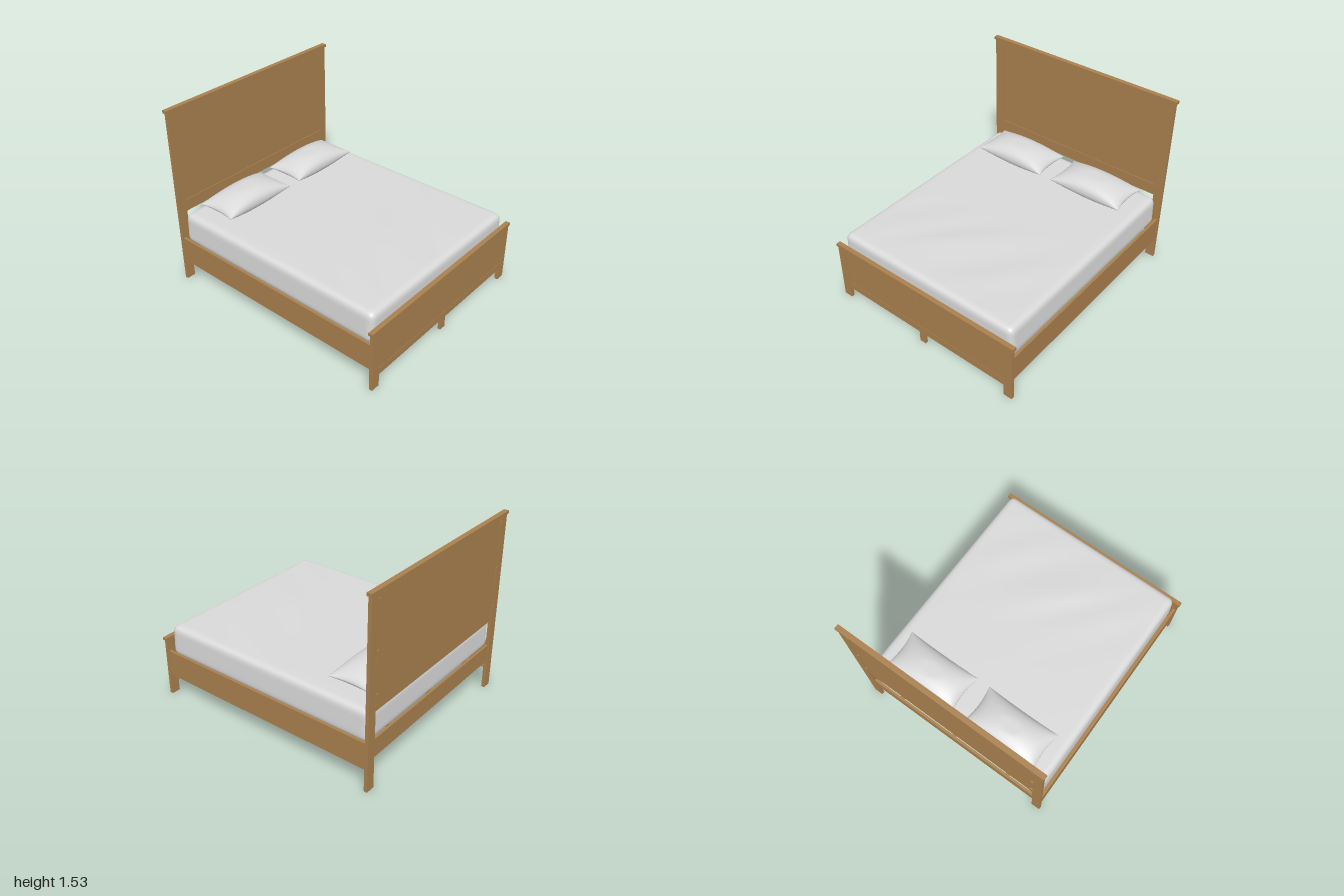
import * as THREE from 'three';
import { mergeVertices } from 'three/addons/utils/BufferGeometryUtils.js';

const wood = new THREE.MeshStandardMaterial({ color: 0xa9804e });
wood.name = 'oak wood';
const linen = new THREE.MeshStandardMaterial({ color: 0xd9d9d9 });
linen.name = 'white linen';

// Wooden board given by its minimum and maximum corners
function board(parent, name, x0, x1, y0, y1, z0, z1) {
  const m = new THREE.Mesh(new THREE.BoxGeometry(x1 - x0, y1 - y0, z1 - z0), wood);
  m.name = name;
  m.position.set((x0 + x1) / 2, (y0 + y1) / 2, (z0 + z1) / 2);
  parent.add(m);
}

// Weld the faces of a subdivided box and move its vertices by a rule
function shapeBox(nx, ny, nz, rule) {
  let g = new THREE.BoxGeometry(2, 2, 2, nx, ny, nz);
  g.deleteAttribute('normal');
  g.deleteAttribute('uv');
  g = mergeVertices(g);
  const p = g.attributes.position, v = new THREE.Vector3();
  for (let i = 0; i < p.count; i++) {
    rule(v.fromBufferAttribute(p, i));
    p.setXYZ(i, v.x, v.y, v.z);
  }
  g.computeVertexNormals();
  return g;
}

function makeHeadboard() {
  const g = new THREE.Group();
  g.name = 'headboard';
  for (const s of [-1, 1]) {
    const [a, b] = s < 0 ? [-0.865, -0.79] : [0.79, 0.865];
    board(g, 'headPost', a, b, 0, 1.51, -0.993, -0.965);
    // small fixing blocks down the back of each post
    for (const y of [0.72, 1.05, 1.42]) {
      const x = s * 0.785;
      board(g, 'fixingBlock', x - 0.012, x + 0.012, y - 0.05, y + 0.05, -0.997, -0.985);
    }
  }
  for (const x of [-0.5, 0, 0.5]) board(g, 'fixingBlock', x - 0.06, x + 0.06, 1.485, 1.51, -0.997, -0.985);
  board(g, 'headCap', -0.877, 0.877, 1.51, 1.535, -1, -0.96);
  board(g, 'headBackPanel', -0.79, 0.79, 0.63, 1.51, -0.988, -0.974);
  board(g, 'headPanelLeft', -0.022, 0.787, 0.733, 1.505, -0.975, -0.969);
  board(g, 'headPanelRight', -0.787, -0.026, 0.733, 1.505, -0.975, -0.969);
  board(g, 'headLowerBand', -0.79, 0.79, 0.63, 0.73, -0.975, -0.967);
  board(g, 'headCrossRail', -0.79, 0.79, 0.25, 0.4, -0.985, -0.965);
  return g;
}

function makeFootboard() {
  const g = new THREE.Group();
  g.name = 'footboard';
  for (const s of [-1, 1]) {
    const [a, b] = s < 0 ? [-0.865, -0.79] : [0.79, 0.865];
    board(g, 'footPost', a, b, 0, 0.5, 0.968, 0.996);
  }
  board(g, 'footCentreLeg', -0.03, 0.025, 0, 0.11, 0.968, 0.992);
  board(g, 'footBackPanel', -0.79, 0.79, 0.1, 0.5, 0.972, 0.988);
  board(g, 'footPanelLeft', 0.002, 0.787, 0.162, 0.497, 0.986, 0.992);
  board(g, 'footPanelRight', -0.787, -0.002, 0.162, 0.497, 0.986, 0.992);
  board(g, 'footLowerBand', -0.79, 0.79, 0.1, 0.16, 0.986, 0.993);
  board(g, 'footCap', -0.877, 0.877, 0.5, 0.523, 0.962, 1);
  return g;
}

function makeFrame() {
  const g = new THREE.Group();
  g.name = 'bedFrame';
  for (const s of [-1, 1]) {
    const r = [0.835 * s, 0.858 * s].sort((a, b) => a - b);
    const c = [0.8 * s, 0.836 * s].sort((a, b) => a - b);
    board(g, 'sideRail', r[0], r[1], 0.18, 0.4, -0.966, 0.97);
    board(g, 'railLedge', c[0], c[1], 0.18, 0.195, -0.966, 0.97);
  }
  // long bearers under the mattress
  for (const x of [-0.53, 0, 0.53]) board(g, 'bearer', x - 0.015, x + 0.015, 0.33, 0.372, -0.966, 0.973);
  return g;
}

function makeMattress() {
  const half = new THREE.Vector3(0.832, 0.127, 0.955), r = 0.05;
  const inner = half.clone().subScalar(r);
  const ease = t => Math.sign(t) * (1 - Math.pow(1 - Math.abs(t), 1.8));
  const q = new THREE.Vector3();
  const geo = shapeBox(44, 14, 52, v => {
    v.set(ease(v.x), ease(v.y), ease(v.z)).multiply(half);
    q.copy(v).clamp(inner.clone().negate(), inner);
    v.sub(q).setLength(r).add(q);
    // soft diagonal folds in the cover, fading at the edges
    if (v.y > 0.07) {
      const fade = Math.max(0, 1 - (v.x / 0.82) ** 4) * Math.max(0, 1 - (v.z / 0.94) ** 6);
      const along = (v.x - v.z) * 0.7, across = (v.x + v.z - 0.35) * 0.7;
      const fold = Math.exp(-((across / 0.09) ** 2) - ((along + 0.45) / 0.4) ** 2);
      const ripple = Math.sin(across * 14 + v.x * 3) * Math.exp(-((v.z - 0.55) ** 2) / 0.15);
      v.y += fade * (0.011 * fold + 0.004 * ripple + 0.004);
    }
    // slight taper towards the top
    const k = 1 - 0.012 * (v.y / half.y + 1) / 2;
    v.x *= k;
  });
  const m = new THREE.Mesh(geo, linen);
  m.name = 'mattress';
  m.position.set(0, 0.495, -0.003);
  return m;
}

// Plump cushion: thick in the middle, thin at a pinched rim
function makePillow(side) {
  const geo = shapeBox(32, 2, 24, v => {
    const u = Math.sin(v.x * Math.PI / 2), w = Math.sin(v.z * Math.PI / 2);
    const h = Math.pow(Math.max(0, 1 - u * u), 0.6) * Math.pow(Math.max(0, 1 - w * w), 0.45);
    const outer = u * side > 0 ? 1 : 0.96;
    const x = u * outer * (0.335 - 0.022 * (1 - w * w) * u * u);
    const z = w * (0.17 - 0.008 * (1 - u * u) * w * w);
    const top = 0.092 * Math.min(1, h * 1.06), low = 0.072 * Math.min(1, h * 1.15);
    v.set(x, v.y >= 0 ? v.y * (top + 0.002) : v.y * (low + 0.002), z);
  });
  const m = new THREE.Mesh(geo, linen);
  m.name = side > 0 ? 'pillowLeft' : 'pillowRight';
  m.position.set(side * 0.375, 0.69, -0.708);
  return m;
}

export function createModel() {
  const bed = new THREE.Group();
  bed.name = 'bed';
  bed.add(makeHeadboard(), makeFootboard(), makeFrame(), makeMattress(), makePillow(1), makePillow(-1));
  return bed;
}
